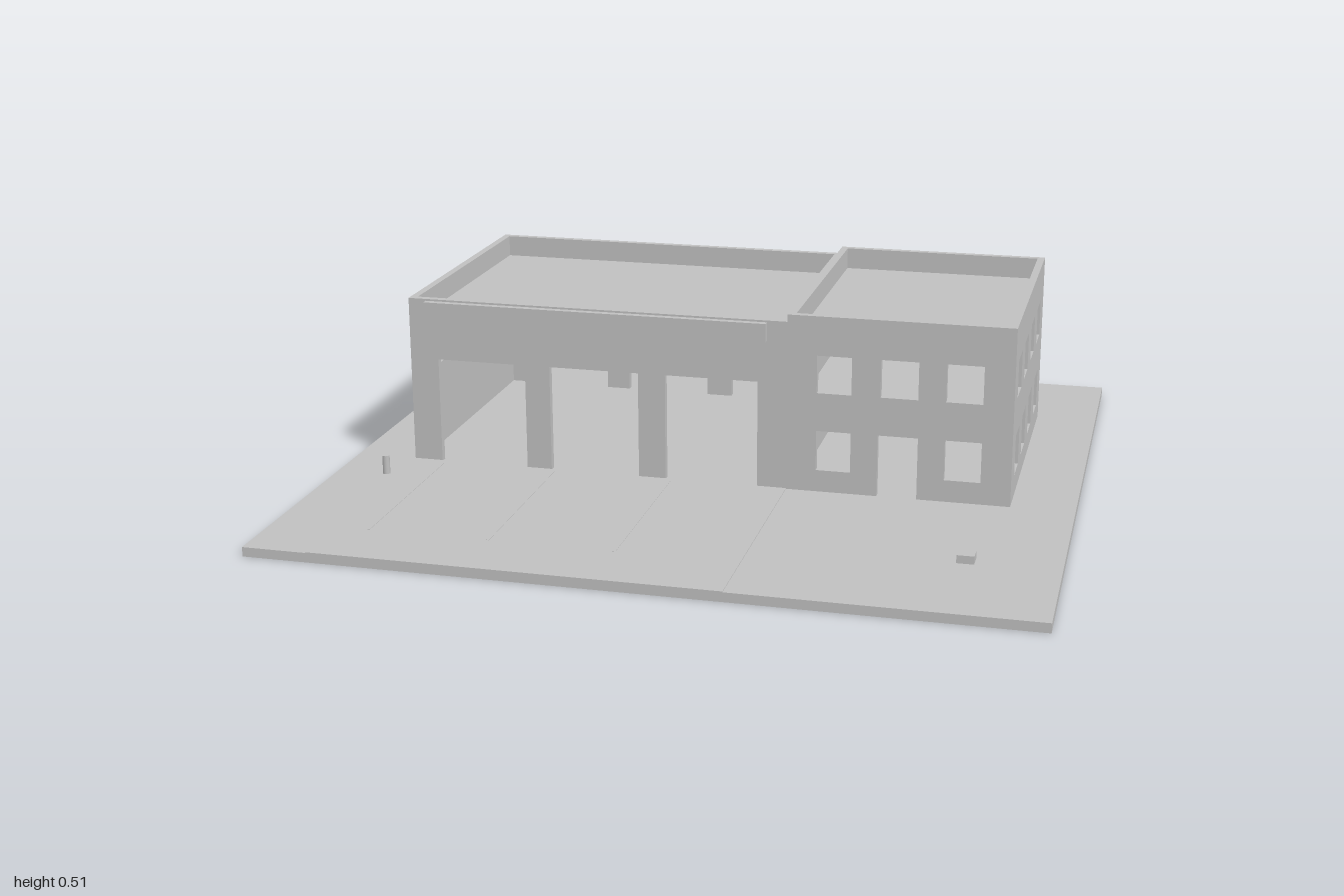
import * as THREE from 'three';

const concrete = new THREE.MeshStandardMaterial({ color: 0xc0c0c0 });
concrete.name = 'concrete grey';

const GROUND = 0.025, T = 0.02, BACK = -0.6, FRONT = 0.2;

// Box given by its minimum and maximum corners
function box(parent, name, x0, x1, y0, y1, z0, z1) {
  const mesh = new THREE.Mesh(new THREE.BoxGeometry(x1 - x0, y1 - y0, z1 - z0), concrete);
  mesh.position.set((x0 + x1) / 2, (y0 + y1) / 2, (z0 + z1) / 2);
  mesh.name = name;
  parent.add(mesh);
  return mesh;
}

// Upright wall with window holes [u0, u1, y0, y1] and door notches [u0, u1, top]
function wallGeometry(u0, u1, top, windows, doors = []) {
  const points = [[u0, GROUND]];
  for (const [a, b, h] of doors) points.push([a, GROUND], [a, h], [b, h], [b, GROUND]);
  points.push([u1, GROUND], [u1, top], [u0, top]);
  const shape = new THREE.Shape(points.map(([x, y]) => new THREE.Vector2(x, y)));
  for (const [a, b, c, d] of windows) {
    shape.holes.push(new THREE.Path([[a, c], [a, d], [b, d], [b, c]].map(([x, y]) => new THREE.Vector2(x, y))));
  }
  return new THREE.ExtrudeGeometry(shape, { depth: T, bevelEnabled: false });
}

// Wall along x, its rear face at z
function wallX(parent, name, z, ...args) {
  const mesh = new THREE.Mesh(wallGeometry(...args), concrete);
  mesh.position.z = z;
  mesh.name = name;
  parent.add(mesh);
}

// Wall along z, its +x face at x
function wallZ(parent, name, x, ...args) {
  const geometry = wallGeometry(...args).rotateY(-Math.PI / 2);
  const mesh = new THREE.Mesh(geometry, concrete);
  mesh.position.x = x;
  mesh.name = name;
  parent.add(mesh);
}

const LOWER = [0.085, 0.195], UPPER = [0.3, 0.403];

function createHall() {
  const hall = new THREE.Group();
  hall.name = 'vehicleHall';
  const x0 = -0.83, x1 = 0.23, top = 0.49;
  const bays = [[-0.75, -0.5, 0.32], [-0.43, -0.18, 0.32], [-0.105, 0.15, 0.32]];
  wallX(hall, 'hallFrontWall', FRONT - T, x0, x1, top, [], bays);
  wallX(hall, 'hallBackWall', BACK, x0, x1, top, [], bays);
  wallZ(hall, 'hallSideWall', x0 + T, BACK + T, FRONT - T, top,
    [[-0.51, -0.25, 0.26, 0.37], [-0.15, 0.11, 0.26, 0.37]]);
  wallZ(hall, 'hallPartyWall', x1, BACK + T, FRONT - T, top, []);
  box(hall, 'hallRoof', x0 + T, x1 - T, 0.41, 0.43, BACK + T, FRONT - T);
  box(hall, 'fasciaPanel', -0.78, 0.175, 0.435, 0.485, FRONT, 0.218);
  return hall;
}

function createOffice() {
  const office = new THREE.Group();
  office.name = 'officeBlock';
  const x0 = 0.23, x1 = 0.83, top = 0.51;
  const columns = [[0.31, 0.403], [0.48, 0.58], [0.653, 0.75]];
  const upper = columns.map(c => [...c, ...UPPER]);
  const lower = columns.map(c => [...c, ...LOWER]);
  wallX(office, 'officeFrontWall', FRONT - T, x0, x1, top,
    [...upper, lower[0], lower[2]], [[0.475, 0.582, LOWER[1]]]);
  wallX(office, 'officeBackWall', BACK, x0, x1, top, [...upper, ...lower]);
  const sideWindows = [];
  for (const z of [-0.515, -0.335, -0.155, 0.02]) {
    for (const row of [LOWER, UPPER]) sideWindows.push([z, z + 0.098, ...row]);
  }
  wallZ(office, 'officeSideWall', x1, BACK + T, FRONT - T, top, sideWindows);
  wallZ(office, 'officePartyWall', x0 + T, BACK + T, FRONT - T, top, []);
  box(office, 'officeRoof', x0 + T, x1 - T, 0.43, 0.45, BACK + T, FRONT - T);

  // Upper floor, open above the stairs
  box(office, 'upperFloor', x0 + T, x1 - T, 0.23, 0.25, -0.33, FRONT - T);
  box(office, 'upperFloorBesideStairs', x0 + T, 0.6, 0.23, 0.25, BACK + T, -0.33);

  // Half-turn stairs: one flight up to the landing, one back to the upper floor
  const steps = 8, run = 0.185 / steps, rise = 0.0135;
  for (let i = 0; i < steps; i++) {
    const za = -0.33 - run * (i + 1);
    const ya = GROUND + rise * (i + 1);
    box(office, 'lowerStep', 0.61, 0.695, Math.max(GROUND, ya - 0.025), ya, za, za + run);
    const zb = -0.515 + run * i;
    const yb = 0.137 + rise * (i + 1);
    box(office, 'upperStep', 0.752, x1 - T, yb - 0.025, yb, zb, zb + run);
  }
  box(office, 'stairLanding', 0.61, x1 - T, 0.12, 0.137, BACK + T, -0.515);
  return office;
}

export function createModel() {
  const model = new THREE.Group();
  model.name = 'fireStation';

  // Site slab, forecourt and bay lines
  box(model, 'siteSlab', -1, 1, 0, GROUND, -0.933, 0.933);
  box(model, 'forecourt', -0.83, 0.23, GROUND, GROUND + 0.002, FRONT, 0.933);
  for (const x of [-0.74, -0.42, -0.09]) {
    box(model, 'bayLine', x - 0.004, x + 0.004, GROUND + 0.002, GROUND + 0.003, 0.22, 0.75);
  }

  model.add(createHall(), createOffice());

  // Small items on the forecourt
  const bollard = new THREE.Mesh(new THREE.CylinderGeometry(0.01, 0.01, 0.052, 16), concrete);
  bollard.position.set(-0.862, GROUND + 0.026, 0.333);
  bollard.name = 'bollard';
  model.add(bollard);
  box(model, 'groundBox', 0.742, 0.786, GROUND, 0.046, 0.578, 0.622);

  return model;
}
